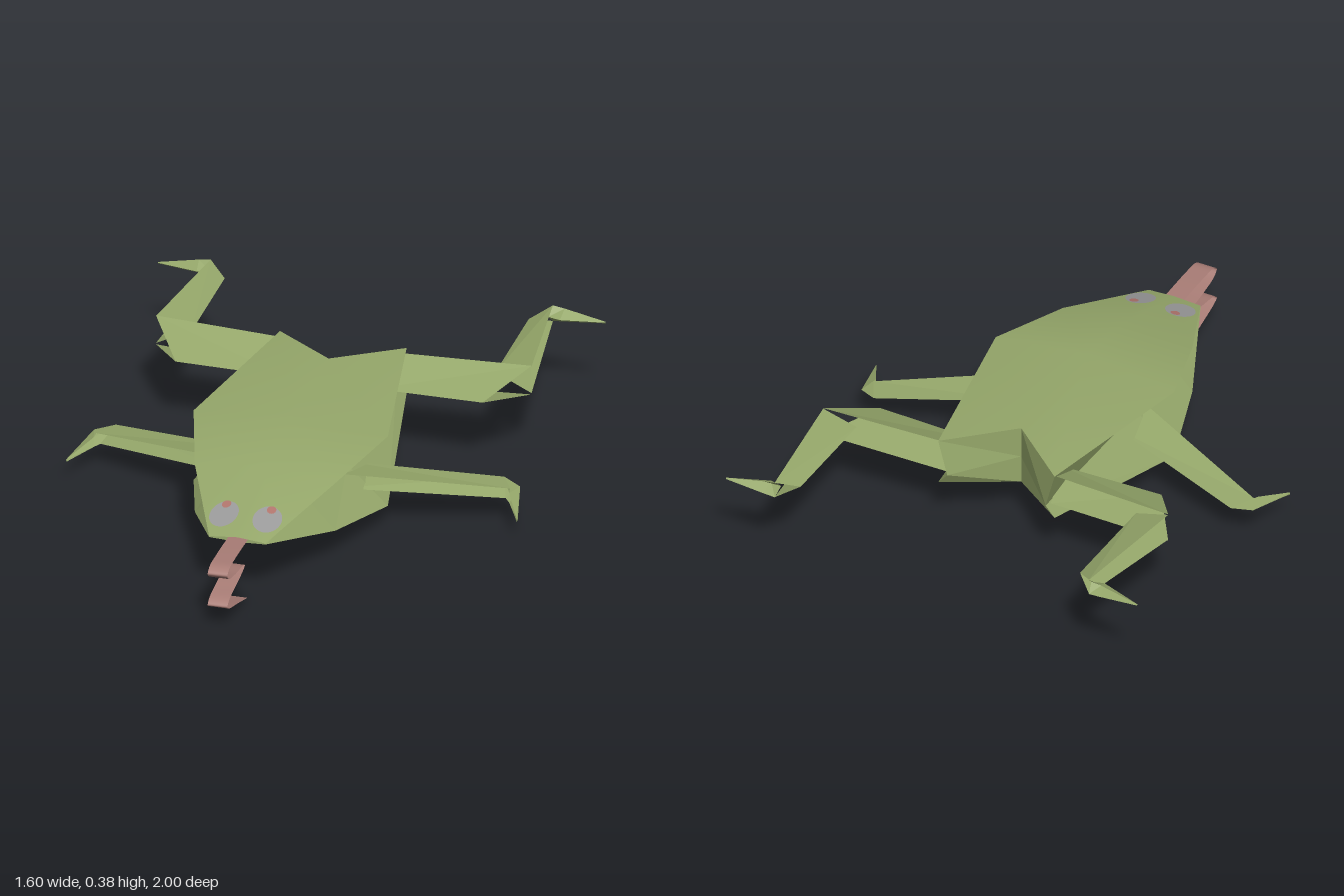
import * as THREE from 'three';

const green = new THREE.MeshStandardMaterial({ color: 0x95a76a, side: THREE.DoubleSide });
green.name = 'green paper';
const pink = new THREE.MeshStandardMaterial({ color: 0xa97d76, side: THREE.DoubleSide });
pink.name = 'pink paper';
const grey = new THREE.MeshStandardMaterial({ color: 0x9a9a9a });
grey.name = 'eye grey';
const red = new THREE.MeshStandardMaterial({ color: 0xb0746c });
red.name = 'pupil red';

// Sheet spanned by rows of [x, y, z] points; smooth or creased
function sheet(name, rows, material, smooth = false) {
  const w = rows[0].length, index = [];
  for (let r = 0; r + 1 < rows.length; r++) {
    for (let c = 0; c + 1 < w; c++) {
      const a = r * w + c, b = a + 1, d = a + w, e = d + 1;
      index.push(a, d, b, b, d, e);
    }
  }
  let geo = new THREE.BufferGeometry();
  geo.setAttribute('position', new THREE.Float32BufferAttribute(rows.flat(2), 3));
  geo.setIndex(index);
  if (!smooth) geo = geo.toNonIndexed();
  geo.computeVertexNormals();
  const mesh = new THREE.Mesh(geo, material);
  mesh.name = name;
  return mesh;
}

const flip = (rows, s) => rows.map(row => row.map(([x, y, z]) => [x * s, y, z]));

// Body stations from nose to hips: edge x, edge z, middle z, then heights
// of the upper ridge, upper edge, lower edge, lower ridge, and inner fold x
const stations = [
  { x: 0.10, z: 0.76, mz: 0.757, top: 0.23, te: 0.222, be: 0.218, bot: 0.212, fold: 0.095 },
  { x: 0.25, z: 0.42, mz: 0.42, top: 0.338, te: 0.308, be: 0.125, bot: 0.107, fold: 0.16 },
  { x: 0.345, z: 0.11, mz: 0.12, top: 0.385, te: 0.347, be: 0.08, bot: 0.076, fold: 0.20 },
  { x: 0.225, z: -0.53, mz: -0.35, top: 0.368, te: 0.352, be: 0.18, bot: 0.145, fold: 0.19 },
];

function body() {
  const g = new THREE.Group();
  g.name = 'body';
  g.add(sheet('back', stations.map(s =>
    [[-s.x, s.te, s.z], [0, s.top, s.mz], [s.x, s.te, s.z]]), green, true));
  g.add(sheet('belly', stations.map(s =>
    [[s.x, s.be, s.z], [0, s.bot, s.mz], [-s.x, s.be, s.z]]), green, true));
  // Sides are folded inward
  const sides = stations.map(s =>
    [[s.x, s.te, s.z], [s.fold, 0.22, s.z], [s.x, s.be, s.z]]);
  g.add(sheet('leftSide', sides, green), sheet('rightSide', flip(sides, -1), green));
  // Notched rear wall
  const h = stations[3];
  g.add(sheet('rearWall', [
    [[-h.x, h.te, h.z], [0, h.top, h.mz], [h.x, h.te, h.z]],
    [[-h.fold, 0.22, h.z], [0, 0.25, h.mz], [h.fold, 0.22, h.z]],
    [[-h.x, h.be, h.z], [0, h.bot, h.mz], [h.x, h.be, h.z]],
  ], green));
  return g;
}

// Legs are V-folded strips: upper edge, crease, lower edge
const frontLeg = [
  [[0.18, 0.215, 0.18], [0.18, 0.185, 0.025], [0.18, 0.16, 0.18]],
  [[0.735, 0.128, -0.042], [0.69, 0.125, -0.127], [0.72, 0.09, -0.04]],
  [[0.738, 0.122, -0.02], [0.757, 0.115, -0.09], [0.738, 0.085, -0.02]],
  [[0.80, 0.088, 0.098], [0.802, 0.084, 0.095], [0.80, 0.078, 0.098]],
];
const thigh = [
  [[0.20, 0.34, -0.51], [0.16, 0.27, -0.36], [0.20, 0.22, -0.51]],
  [[0.667, 0.345, -0.535], [0.545, 0.275, -0.355], [0.667, 0.235, -0.535]],
];
const shin = [
  [[0.667, 0.343, -0.535], [0.54, 0.305, -0.53], [0.667, 0.24, -0.535]],
  [[0.608, 0.34, -0.997], [0.54, 0.308, -0.935], [0.608, 0.28, -0.997]],
];
const foot = [
  [[0.607, 0.34, -0.997], [0.60, 0.31, -0.965], [0.607, 0.28, -0.997]],
  [[0.65, 0.333, -0.998], [0.645, 0.31, -0.953], [0.65, 0.283, -0.998]],
  [[0.795, 0.302, -1], [0.795, 0.3, -0.997], [0.795, 0.296, -1]],
];

// Disc laid on the sloping top of the head
function headDisc(name, cx, cz, rx, rz, lift, material) {
  const geo = new THREE.CircleGeometry(1, 28).rotateX(-Math.PI / 2);
  const p = geo.attributes.position;
  for (let i = 0; i < p.count; i++) {
    const x = cx + p.getX(i) * rx, z = cz + p.getZ(i) * rz;
    p.setXYZ(i, x, 0.23 - 0.09 * Math.abs(x) + 0.3176 * (0.76 - z) + lift, z);
  }
  geo.computeVertexNormals();
  const mesh = new THREE.Mesh(geo, material);
  mesh.name = name;
  return mesh;
}

// Zigzag tongue: a ribbon swept along a side profile of [z, y]
function tongue() {
  const path = [
    [0.74, 0.222], [0.90, 0.226], [0.975, 0.222], [0.999, 0.205], [0.98, 0.185], [0.90, 0.165],
    [0.81, 0.152], [0.785, 0.142], [0.81, 0.132], [0.90, 0.117], [0.98, 0.102],
    [0.999, 0.085], [0.975, 0.07], [0.87, 0.038], [0.755, 0.002],
  ].map(([z, y]) => new THREE.Vector3(0, y, z));
  const pts = new THREE.CatmullRomCurve3(path, false, 'centripetal').getPoints(84);
  return sheet('tongue', pts.map(p => [[-0.035, p.y, p.z], [0.035, p.y, p.z]]), pink, true);
}

export function createModel() {
  const model = new THREE.Group();
  model.name = 'paperFrog';
  model.add(body(), tongue());
  for (const [side, s] of [['left', 1], ['right', -1]]) {
    const front = sheet(side + 'FrontLeg', flip(frontLeg, s), green);
    const rear = new THREE.Group();
    rear.name = side + 'RearLeg';
    rear.add(sheet('thigh', flip(thigh, s), green),
      sheet('shin', flip(shin, s), green),
      sheet('foot', flip(foot, s), green));
    model.add(front, rear,
      headDisc(side + 'Eye', s * 0.077, 0.657, 0.05, 0.06, 0.004, grey),
      headDisc(side + 'Pupil', s * 0.08, 0.615, 0.016, 0.017, 0.007, red));
  }
  return model;
}
